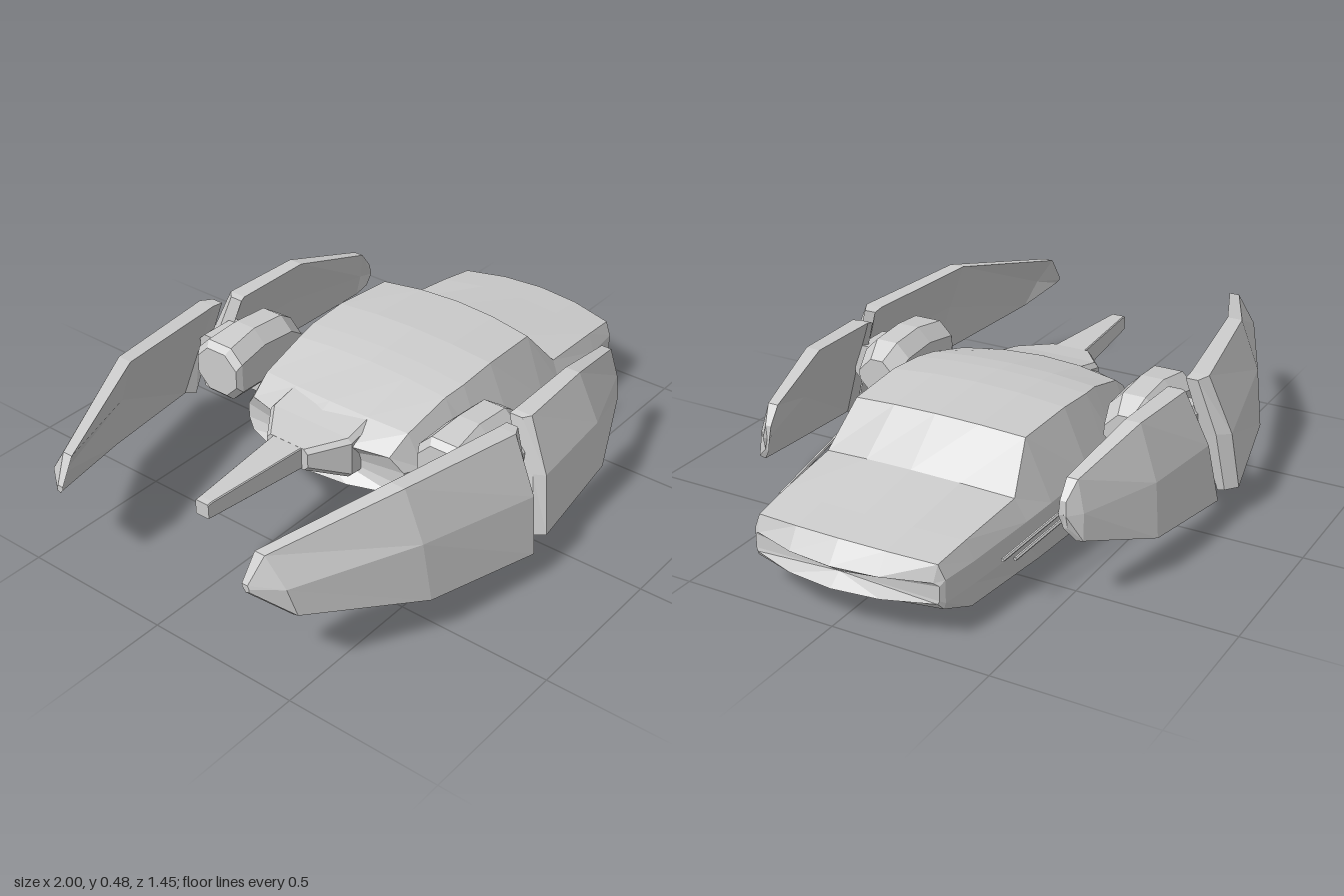
import * as THREE from 'three';

const mat = new THREE.MeshStandardMaterial({ color: 0xcccccc, flatShading: true });

// Skin a series of rings running towards +x, each going top -> +z -> bottom; s = -1 mirrors in z
function loft(name, rings, s = 1) {
  const rs = rings.map(r => {
    const pts = r.map(([x, y, z]) => new THREE.Vector3(x, y, z * s));
    return s < 0 ? pts.reverse() : pts;
  });
  const pos = [];
  const tri = (a, b, c) => pos.push(...a.toArray(), ...b.toArray(), ...c.toArray());
  const n = rs[0].length;
  for (let i = 0; i < rs.length - 1; i++) {
    for (let j = 0; j < n; j++) {
      const k = (j + 1) % n, p = rs[i], q = rs[i + 1];
      tri(p[j], p[k], q[k]);
      tri(p[j], q[k], q[j]);
    }
  }
  [rs[0], rs[rs.length - 1]].forEach((r, end) => {
    const mid = r.reduce((a, p) => a.add(p), new THREE.Vector3()).divideScalar(n);
    for (let j = 0; j < n; j++) {
      const k = (j + 1) % n;
      if (end) tri(mid, r[j], r[k]); else tri(mid, r[k], r[j]);
    }
  });
  const g = new THREE.BufferGeometry();
  g.setAttribute('position', new THREE.Float32BufferAttribute(pos, 3));
  g.computeVertexNormals();
  const m = new THREE.Mesh(g, mat);
  m.name = name;
  return m;
}

// Complete a half section (z >= 0) to a full ring
function mirrorRing(half) {
  return [...half, ...half.filter(p => p[2] > 0).reverse().map(([x, y, z]) => [x, y, -z])];
}

// Chamfered rectangular ring
function blockRing(x, y0, y1, z0, z1, c) {
  return [[x, y1, z0 + c], [x, y1, z1 - c], [x, y1 - c, z1], [x, y0 + c, z1],
    [x, y0, z1 - c], [x, y0, z0 + c], [x, y0 + c, z0], [x, y1 - c, z0]];
}

function rod(name, a, b, r) {
  const p = new THREE.Vector3(...a), q = new THREE.Vector3(...b);
  const m = new THREE.Mesh(new THREE.CylinderGeometry(r, r, p.distanceTo(q), 6), mat);
  m.position.copy(p).add(q).multiplyScalar(0.5);
  m.quaternion.setFromUnitVectors(new THREE.Vector3(0, 1, 0), q.sub(p).normalize());
  m.name = name;
  return m;
}

// Curved shield plate. Section: top [x, y, z], middle, bottom of the outer face, and thickness
function plate(name, sections, s) {
  return loft(name, sections.map(([t, m, b, w]) => [
    [t[0], t[1], t[2] - w], t, m, b,
    [b[0], b[1] - 0.005, b[2] - w * 0.6], [m[0], m[1], m[2] - w * 1.2],
  ]), s);
}

export function createModel() {
  const root = new THREE.Group();
  root.name = 'ship';

  // Hull: x, sweep at the edge, top z, top y, side z, upper y, lower y, bottom z, bottom y
  const hull = [
    [-0.33, 0.08, 0.27, 0.30, 0.31, 0.25, 0.20, 0.28, 0.17],
    [-0.22, 0.04, 0.28, 0.35, 0.33, 0.24, 0.17, 0.30, 0.14],
    [-0.02, 0.00, 0.29, 0.395, 0.37, 0.22, 0.15, 0.33, 0.10],
    [0.06, 0.00, 0.30, 0.405, 0.375, 0.22, 0.14, 0.335, 0.00],
    [0.20, 0.00, 0.30, 0.415, 0.385, 0.22, 0.14, 0.335, 0.008],
    [0.44, -0.03, 0.29, 0.405, 0.37, 0.21, 0.13, 0.335, 0.022],
    [0.58, -0.05, 0.32, 0.27, 0.355, 0.20, 0.125, 0.33, 0.03],
    [0.82, -0.04, 0.305, 0.25, 0.33, 0.19, 0.12, 0.32, 0.045],
    [0.95, -0.04, 0.295, 0.235, 0.315, 0.19, 0.12, 0.31, 0.10],
    [1.00, -0.075, 0.29, 0.185, 0.305, 0.175, 0.13, 0.30, 0.12],
  ];
  root.add(loft('hull', hull.map(([x, d, zt, yt, zm, yu, yl, zb, yb]) => {
    const crown = x > 0.99 ? 0.005 : x > 0.5 && x < 0.6 ? 0.03 : 0.018;
    return mirrorRing([
      [0, yt + crown, 0], [zt / 2, yt + crown * 0.75, 1], [zt, yt, 1],
      [zm, yu, 1], [zm, yl, 1], [zb, yb, 1], [zb / 2, yb, 1], [0, yb, 0],
    ].map(([z, y]) => [x + d * (z / zm) ** 2, y, z]));
  })));

  // Rear neck and tail boom
  root.add(loft('neck', [
    [-0.42, 0.25, 0.325, 0.08], [-0.31, 0.20, 0.34, 0.16], [-0.06, 0.18, 0.395, 0.16],
  ].map(([x, y0, y1, z]) => blockRing(x, y0, y1, -z, z, 0.015))));
  root.add(loft('tailBoom', [
    [-0.79, 0.265, 0.315, 0.025], [-0.77, 0.262, 0.317, 0.025], [-0.40, 0.25, 0.325, 0.058],
  ].map(([x, y0, y1, z]) => blockRing(x, y0, y1, -z, z, 0.003))));

  for (const s of [1, -1]) {
    const side = new THREE.Group();
    side.name = s > 0 ? 'frontSide' : 'backSide';

    side.add(plate('rearShield', [
      [[-1.0, 0.33, 0.365], [-1.0, 0.32, 0.37], [-1.0, 0.31, 0.37], 0.02],
      [[-0.95, 0.41, 0.385], [-0.94, 0.32, 0.45], [-0.92, 0.23, 0.47], 0.035],
      [[-0.56, 0.48, 0.55], [-0.56, 0.32, 0.615], [-0.55, 0.13, 0.64], 0.05],
      [[-0.13, 0.46, 0.62], [-0.14, 0.28, 0.70], [-0.16, 0.095, 0.725], 0.06],
      [[-0.09, 0.455, 0.60], [-0.11, 0.28, 0.66], [-0.13, 0.09, 0.69], 0.04],
    ], s));
    side.add(plate('frontShield', [
      [[-0.03, 0.445, 0.575], [-0.05, 0.28, 0.635], [-0.08, 0.09, 0.67], 0.045],
      [[-0.01, 0.45, 0.595], [-0.03, 0.28, 0.67], [-0.055, 0.09, 0.70], 0.06],
      [[0.27, 0.455, 0.58], [0.29, 0.29, 0.645], [0.31, 0.125, 0.665], 0.05],
      [[0.55, 0.385, 0.525], [0.56, 0.29, 0.55], [0.57, 0.21, 0.555], 0.035],
      [[0.59, 0.33, 0.51], [0.60, 0.29, 0.515], [0.59, 0.25, 0.515], 0.02],
    ], s));

    // Engine pod between the hull and the shields
    side.add(loft('pod', [
      [-0.25, 0.24, 0.39, 0.36, 0.525], [-0.23, 0.22, 0.41, 0.35, 0.535],
      [-0.11, 0.21, 0.425, 0.36, 0.525], [0.02, 0.21, 0.415, 0.36, 0.525], [0.085, 0.25, 0.37, 0.375, 0.51],
    ].map(([x, y0, y1, z0, z1]) => blockRing(x, y0, y1, z0, z1, 0.045)), s));
    side.add(loft('shieldMount', [-0.16, -0.02].map(x => blockRing(x, 0.24, 0.36, 0.50, 0.60, 0.02)), s));
    side.add(loft('gunMount', [
      [-0.08, 0.16, 0.26, 0.38, 0.50], [0.10, 0.17, 0.25, 0.37, 0.49], [0.16, 0.18, 0.22, 0.37, 0.43],
    ].map(([x, y0, y1, z0, z1]) => blockRing(x, y0, y1, z0, z1, 0.015)), s));

    // Gun barrels
    side.add(rod('outerBarrel', [0.07, 0.225, 0.47 * s], [0.68, 0.165, 0.40 * s], 0.006));
    side.add(rod('innerBarrel', [0.09, 0.20, 0.42 * s], [0.68, 0.15, 0.36 * s], 0.006));
    root.add(side);
  }
  return root;
}
